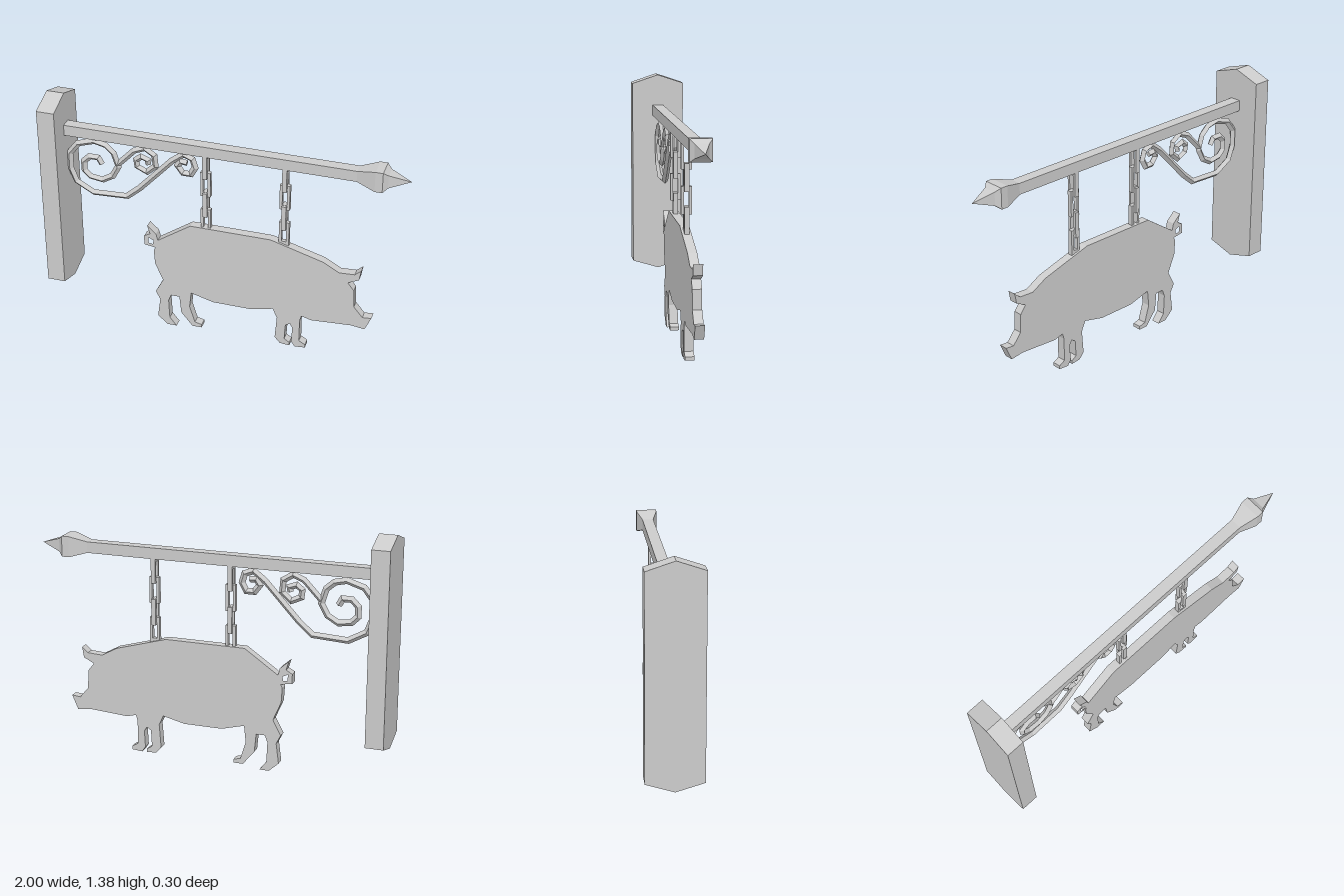
import * as THREE from 'three';

const material = new THREE.MeshStandardMaterial({ color: 0xcccccc, flatShading: true });

function part(name, geometry, parent) {
  const mesh = new THREE.Mesh(geometry, material);
  mesh.name = name;
  parent.add(mesh);
  return mesh;
}

// Outline points are written in hundredths of a unit
const toPoints = (list) => list.map(([x, y]) => new THREE.Vector2(x / 100, y / 100));

// Flat plate centred on its own z = 0
function plate(outline, depth, hole) {
  const shape = new THREE.Shape(toPoints(outline));
  if (hole) shape.holes.push(new THREE.Path(toPoints(hole)));
  return new THREE.ExtrudeGeometry(shape, { depth, bevelEnabled: false }).translate(0, 0, -depth / 2);
}

// Diamond-section bar swept along a flat polyline with mitred corners
function scrollBar(list, r) {
  const pts = toPoints(list), pos = [], idx = [], last = pts.length - 1;
  pts.forEach((p, i) => {
    const a = pts[Math.max(i, 1)].clone().sub(pts[Math.max(i, 1) - 1]).normalize();
    const j = Math.min(i, last - 1);
    const b = pts[j + 1].clone().sub(pts[j]).normalize();
    const t = a.clone().add(b).normalize();
    const m = r / Math.max(t.dot(b), 0.6);
    const nx = -t.y * m, ny = t.x * m;
    pos.push(p.x + nx, p.y + ny, 0, p.x, p.y, r, p.x - nx, p.y - ny, 0, p.x, p.y, -r);
    if (i === last) return;
    for (let k = 0; k < 4; k++) {
      const q = i * 4 + k, s = i * 4 + (k + 1) % 4;
      idx.push(q, s, s + 4, q, s + 4, q + 4);
    }
  });
  const e = last * 4;
  idx.push(0, 2, 1, 0, 3, 2, e, e + 1, e + 2, e, e + 2, e + 3);
  const g = new THREE.BufferGeometry();
  g.setAttribute('position', new THREE.Float32BufferAttribute(pos, 3));
  g.setIndex(idx);
  g.computeVertexNormals();
  return g;
}

export function createModel() {
  const model = new THREE.Group();
  model.name = 'hangingPigSign';

  // Wall post with pointed ends
  const post = part('wallPost', plate([[-15, 26], [0, 21.5], [15, 26], [15, 133], [0, 138], [-15, 133]], 0.1), model);
  post.rotation.y = Math.PI / 2;
  post.position.x = -0.95;

  // Square beam with flared spear tip
  const profile = [[0, -0.9], [0.031, -0.9], [0.031, 0.72], [0.058, 0.82], [0.058, 0.86], [0.037, 0.885], [0, 1]]
    .map(([half, x]) => new THREE.Vector2(half * Math.SQRT2, x));
  const beam = part('beam', new THREE.LatheGeometry(profile, 4, Math.PI / 4), model);
  beam.rotation.z = -Math.PI / 2;
  beam.position.y = 1.17;

  // Wrought scroll bracket
  const bracket = new THREE.Group();
  bracket.name = 'scrollBracket';
  model.add(bracket);
  part('mainScroll', scrollBar([
    [-70, 98], [-72, 101.5], [-77, 101.5], [-80.5, 98], [-80.5, 92.5], [-77, 89], [-70, 88], [-64, 91.5],
    [-60.5, 98], [-63, 106], [-67.5, 110], [-74, 111.5], [-83.5, 108.5], [-88.5, 102], [-88.5, 92.5],
    [-85.5, 84.5], [-75.5, 79], [-56, 80], [-48.5, 86.5], [-29.5, 107], [-23, 112], [-18, 110],
    [-16.5, 105], [-19, 100.5], [-23.5, 100.5], [-26.5, 104.5], [-24.5, 107.5], [-21, 107],
  ], 0.018), bracket);
  part('branchScroll', scrollBar([
    [-61, 99], [-51, 109.5], [-45, 112], [-39.5, 108.5], [-39, 102], [-44, 97.5], [-49.5, 100],
    [-50, 104], [-47, 106.5], [-43, 105], [-43.5, 102.5],
  ], 0.017), bracket);

  // Two chains of links, alternately turned
  const link = plate([[-2.8, -7.4], [2.8, -7.4], [2.8, 7.4], [-2.8, 7.4]], 0.025, [[-1.3, -4.6], [-1.3, 4.6], [1.3, 4.6], [1.3, -4.6]]);
  for (const x of [-0.105, 0.335]) {
    const chain = new THREE.Group();
    chain.name = 'chain';
    chain.position.x = x;
    model.add(chain);
    [1.075, 0.96, 0.838, 0.732].forEach((y, i) => {
      const mesh = part('chainLink', link, chain);
      mesh.position.y = y;
      if (i % 2 === 0) mesh.rotation.y = Math.PI / 2;
    });
  }

  // Pig silhouette board
  part('pigBoard', plate([
    // back, ear and snout
    [-38, 56], [-19, 69], [26.5, 69], [56, 60.5], [65, 55.5], [73.5, 56], [77, 59], [76, 53], [70, 50],
    [73.5, 45.5], [74, 35], [79, 29], [84, 29.5], [80.5, 21.5], [73, 22.5], [50.5, 21], [45, 22.5],
    // front legs
    [44, 19], [44, 5.5], [47.5, 3.5], [47.5, 1.5], [41.5, 1], [39.5, 4], [40, 13.5], [38.5, 16],
    [36, 14.5], [35.5, 5], [38.5, 3], [38.5, 1], [33, 1.5], [30, 5], [31, 18.5], [28.5, 24],
    // belly and hind legs
    [16, 21], [-6, 21], [-19, 24.5], [-20, 15], [-17, 5], [-13, 4], [-13, 2], [-18.5, 2], [-25, 10],
    [-26, 20.5], [-31, 20.5], [-32.5, 16.5], [-32, 5], [-28, 0], [-33.5, 0], [-39, 5], [-37.5, 16.5],
    // rump and curled tail
    [-40, 21.5], [-35.5, 30], [-40, 40.5], [-40.5, 49], [-39.5, 51], [-46, 52], [-46, 57.5],
    [-42.5, 59.5], [-44, 64.5], [-39, 60],
  ], 0.05, [[-43.5, 57], [-40.5, 55.5], [-41, 53], [-43.5, 53.5]]), model);

  return model;
}
